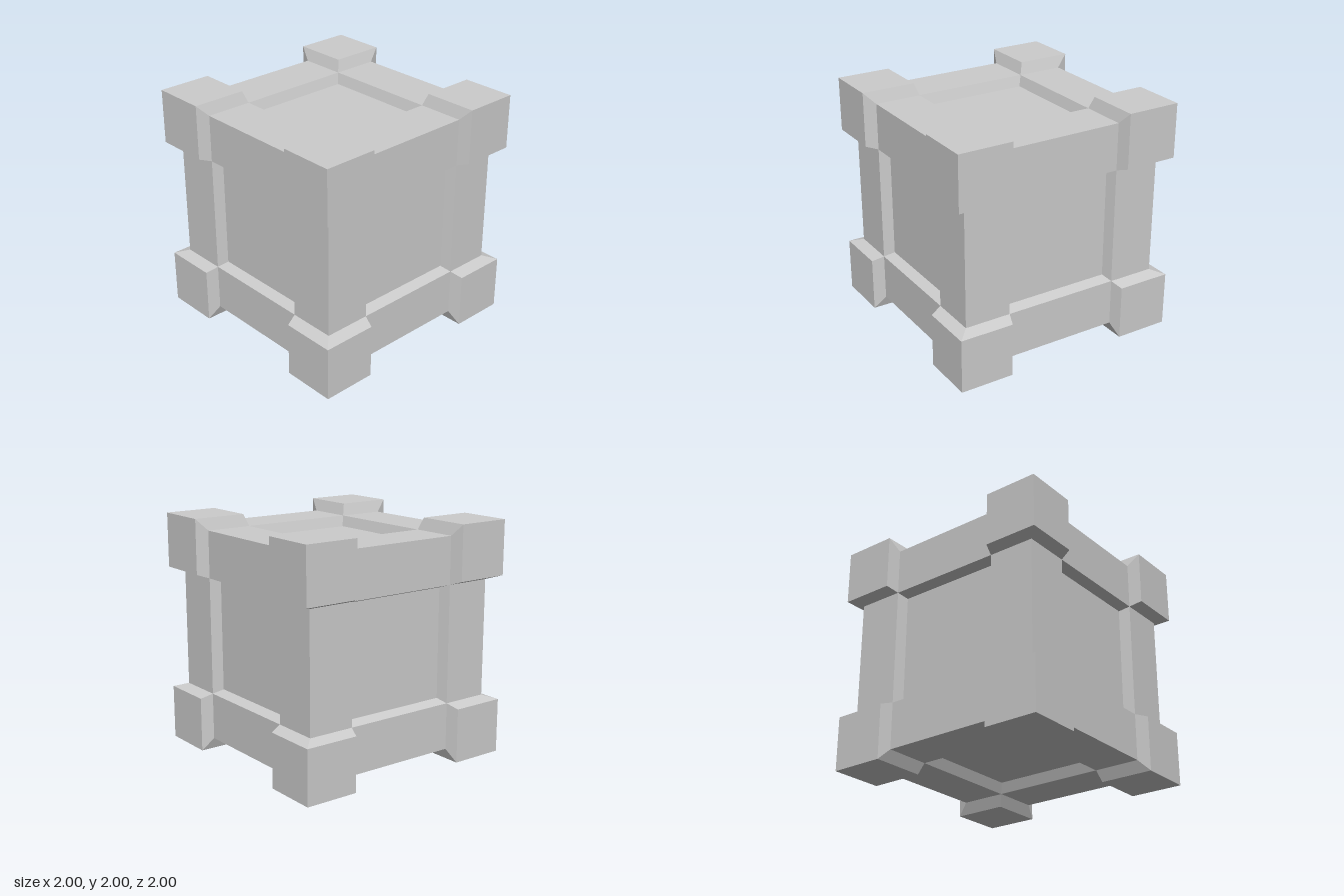
import * as THREE from 'three';
import { ConvexGeometry } from 'three/addons/geometries/ConvexGeometry.js';

const OUTER = 1;       // corner block faces
const CORNER = 0.535;  // inner edge of the corner block faces
const BEAM = 0.9;      // beam faces
const GAP = 0.5;       // inner edge of the beam faces
const PANEL = 0.81;    // recessed panel faces
const PANEL_EDGE = 0.47;

export function createModel() {
  const material = new THREE.MeshStandardMaterial({ color: 0xcccccc, flatShading: true });
  const model = new THREE.Group();
  model.name = 'crate';
  const add = (parent, name, geometry) => {
    const mesh = new THREE.Mesh(geometry, material);
    mesh.name = name;
    parent.add(mesh);
    return mesh;
  };

  // Core: its six faces are the recessed panels
  add(model, 'panels', new THREE.BoxGeometry(2 * PANEL, 2 * PANEL, 2 * PANEL)).position.y = 1;

  // Edge beams: one section with sloped inner sides, four around each axis
  const section = new THREE.Shape([
    [BEAM, BEAM], [GAP, BEAM], [PANEL_EDGE, PANEL],
    [PANEL_EDGE, PANEL_EDGE], [PANEL, PANEL_EDGE], [BEAM, GAP],
  ].map(([x, y]) => new THREE.Vector2(x, y)));
  const beam = new THREE.ExtrudeGeometry(section, { depth: 2 * GAP, bevelEnabled: false });
  beam.translate(0, 0, -GAP);
  const axes = { depthBeams: [0, 0], uprightBeams: [Math.PI / 2, 0], widthBeams: [0, Math.PI / 2] };
  for (const [name, [rx, ry]] of Object.entries(axes)) {
    const beams = new THREE.Group();
    beams.name = name;
    beams.position.y = 1;
    beams.rotation.set(rx, ry, 0);
    for (let i = 0; i < 4; i++) add(beams, 'beam', beam).rotation.z = i * Math.PI / 2;
    model.add(beams);
  }

  // Corner blocks: a cube whose inner sides taper down to the beams
  const corners = new THREE.Group();
  corners.name = 'cornerBlocks';
  corners.position.y = 1;
  model.add(corners);
  const turns = (a, b, c) => [[a, b, c], [b, c, a], [c, a, b]];
  const points = [
    [OUTER, OUTER, OUTER],
    ...turns(CORNER, OUTER, OUTER), ...turns(CORNER, CORNER, OUTER),
    ...turns(GAP, BEAM, BEAM), ...turns(GAP, GAP, BEAM),
  ];
  for (const sx of [-1, 1]) for (const sy of [-1, 1]) for (const sz of [-1, 1]) {
    const hull = points.map(([x, y, z]) => new THREE.Vector3(sx * x, sy * y, sz * z));
    add(corners, 'cornerBlock', new ConvexGeometry(hull));
  }
  return model;
}
